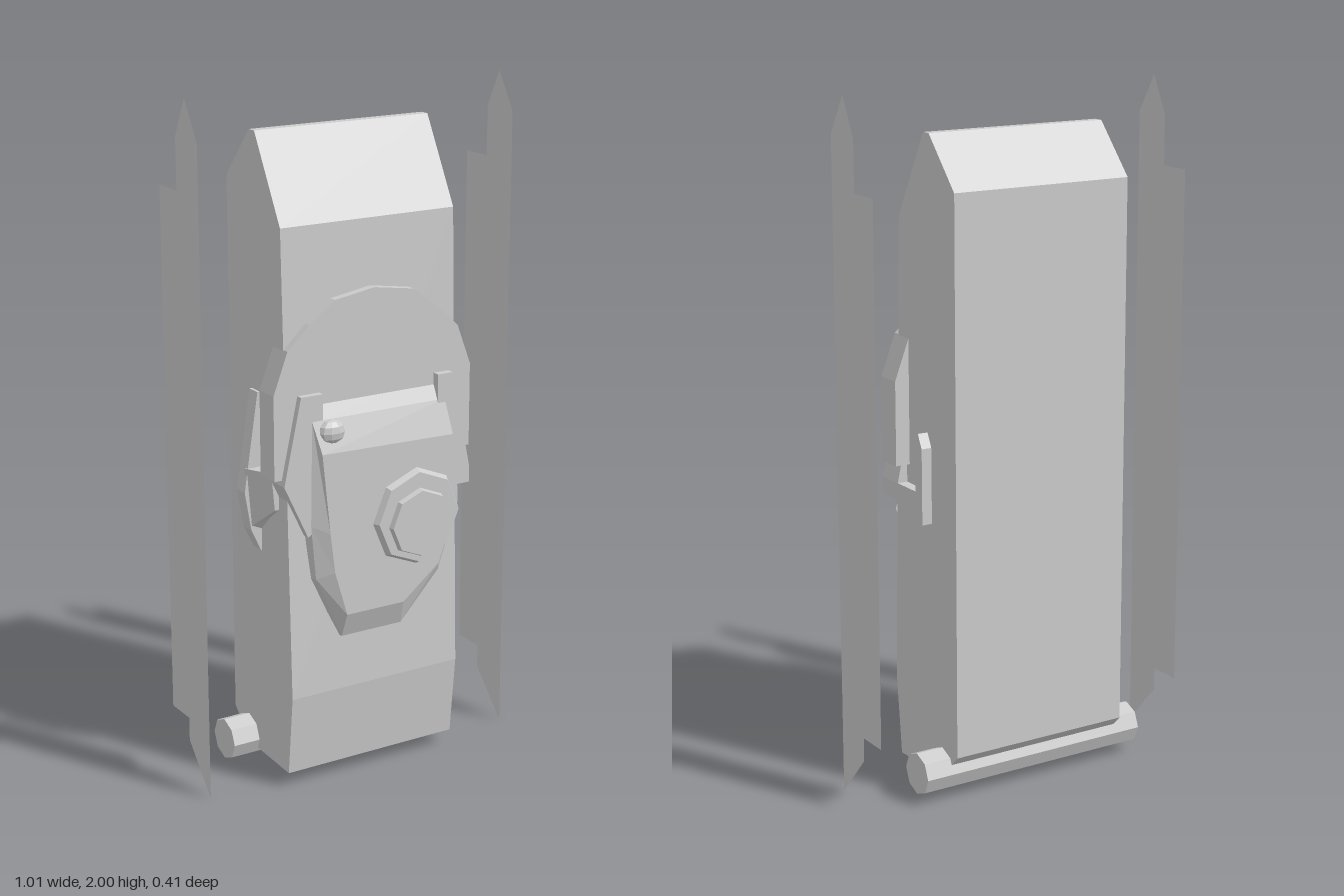
import * as THREE from 'three';

const grey = new THREE.MeshStandardMaterial({ color: 0xcccccc, flatShading: true });
const greyThin = new THREE.MeshStandardMaterial({ color: 0xcccccc, side: THREE.DoubleSide });

const toShape = (pts) => new THREE.Shape(pts.map(([a, b]) => new THREE.Vector2(a, b)));

// Outline in (x, y), extruded from z0 to z1
function frontPlate(pts, z0, z1) {
  const g = new THREE.ExtrudeGeometry(toShape(pts), { depth: z1 - z0, bevelEnabled: false });
  return g.translate(0, 0, z0);
}

// Outline in (z, y), extruded from x0 to x1
function sidePlate(pts, x0, x1) {
  const g = new THREE.ExtrudeGeometry(toShape(pts.map(([z, y]) => [-z, y])), { depth: x1 - x0, bevelEnabled: false });
  return g.rotateY(Math.PI / 2).translate(x0, 0, 0);
}

// Skin between matching clockwise rings of [x, y] at rising z, closed at the front
function loft(rings) {
  const pos = [], index = [], n = rings[0].pts.length;
  rings.forEach(({ z, pts }) => pts.forEach(([x, y]) => pos.push(x, y, z)));
  for (let r = 0; r < rings.length - 1; r++) {
    for (let i = 0; i < n; i++) {
      const a = r * n + i, b = r * n + (i + 1) % n;
      index.push(a, a + n, b, b, a + n, b + n);
    }
  }
  const last = (rings.length - 1) * n;
  for (let i = 1; i < n - 1; i++) index.push(last, last + i + 1, last + i);
  const g = new THREE.BufferGeometry();
  g.setAttribute('position', new THREE.Float32BufferAttribute(pos, 3));
  g.setIndex(index);
  g.computeVertexNormals();
  return g;
}

export function createModel() {
  const model = new THREE.Group();
  const add = (name, geometry, material = grey) => {
    const mesh = new THREE.Mesh(geometry, material);
    mesh.name = name;
    model.add(mesh);
    return mesh;
  };

  // Main block with sloped top and bottom
  add('body', sidePlate([
    [-0.205, 1.745], [-0.075, 1.89], [-0.045, 1.89], [0.09, 1.645],
    [0.135, 0.285], [0.11, 0.045], [-0.12, 0.055], [-0.205, 0.14],
  ], -0.281, 0.281));

  // Rod across the lower back edge
  const rod = new THREE.CylinderGeometry(0.062, 0.062, 0.73, 8);
  rod.rotateZ(Math.PI / 2).translate(0, 0.083, -0.122);
  add('hingeRod', rod);

  // Free-standing thin side panels
  const panel = toShape([
    [0.015, 2], [-0.053, 1.89], [-0.053, 0], [0.07, 0.135], [0.07, 0.205],
    [0.17, 0.205], [0.17, 1.745], [0.07, 1.745], [0.07, 1.89],
  ]);
  for (const side of [-1, 1]) {
    const g = new THREE.ShapeGeometry(panel).rotateY(Math.PI / 2).translate(side * 0.507, 0, 0);
    add(side > 0 ? 'leftPanel' : 'rightPanel', g, greyThin);
  }

  // Arched backing plate
  const half = [[0.325, 0.945], [0.325, 1.19], [0.28, 1.31], [0.21, 1.375], [0.128, 1.435]];
  add('archPlate', frontPlate([
    ...half, [0, 1.455], ...half.map(([x, y]) => [-x, y]).reverse(),
  ], 0.045, 0.122));

  // Pointed cheeks beside the cover
  add('rightCheek', frontPlate([
    [-0.25, 1.18], [-0.305, 0.93], [-0.23, 0.77], [-0.18, 0.8], [-0.18, 1.18],
  ], 0.06, 0.142));
  add('leftCheek', frontPlate([
    [0.25, 1.18], [0.2, 1.18], [0.2, 0.8], [0.25, 0.83], [0.312, 0.89],
  ], 0.06, 0.145));

  // Bevelled front cover
  add('cover', loft([
    { z: 0.105, pts: [[-0.25, 1.18], [0.25, 1.18], [0.275, 0.95], [0.265, 0.8], [0.21, 0.585], [0.08, 0.445], [-0.12, 0.445], [-0.215, 0.635], [-0.235, 0.8]] },
    { z: 0.142, pts: [[-0.215, 1.105], [0.225, 1.105], [0.262, 0.95], [0.262, 0.8], [0.21, 0.59], [0.08, 0.45], [-0.12, 0.45], [-0.205, 0.64], [-0.22, 0.8]] },
    { z: 0.172, pts: [[-0.2, 1.015], [0.235, 1.005], [0.25, 0.9], [0.255, 0.8], [0.19, 0.62], [0.07, 0.525], [-0.12, 0.525], [-0.16, 0.66], [-0.175, 0.78]] },
  ]));

  // Low round stud on the cover
  const stud = new THREE.SphereGeometry(0.042, 10, 6).scale(1, 0.85, 0.6);
  add('stud', stud).position.set(-0.157, 1.07, 0.15);

  // Two-step octagonal dial
  const dial = (name, rFront, rBack, z0, z1) => {
    const g = new THREE.CylinderGeometry(rFront, rBack, z1 - z0, 8).rotateX(Math.PI / 2);
    add(name, g).position.set(0.111, z0 < 0.18 ? 0.782 : 0.768, (z0 + z1) / 2);
  };
  dial('dialBase', 0.135, 0.152, 0.16, 0.19);
  dial('dialFace', 0.098, 0.104, 0.185, 0.206);

  // Clip on the left side: strap with an upright end
  add('leftStrap', sidePlate([[-0.075, 0.84], [0.145, 0.84], [0.145, 0.89], [-0.075, 0.89]], 0.265, 0.312));
  add('leftStrapEnd', sidePlate([
    [-0.075, 0.8], [-0.04, 0.84], [-0.035, 1.0], [-0.055, 1.06], [-0.075, 1.02],
  ], 0.265, 0.312));

  // Clip on the right side: tapered fin and forward arm
  add('rightFin', frontPlate([
    [-0.27, 1.16], [-0.29, 1.16], [-0.318, 0.98], [-0.335, 0.87], [-0.315, 0.755], [-0.285, 0.69], [-0.27, 0.69],
  ], -0.075, -0.03));
  add('rightArm', loft([
    { z: -0.04, pts: [[-0.33, 0.94], [-0.27, 0.94], [-0.27, 0.74], [-0.315, 0.76]] },
    { z: 0.07, pts: [[-0.305, 0.95], [-0.25, 0.95], [-0.25, 0.84], [-0.295, 0.84]] },
  ]));

  return model;
}
